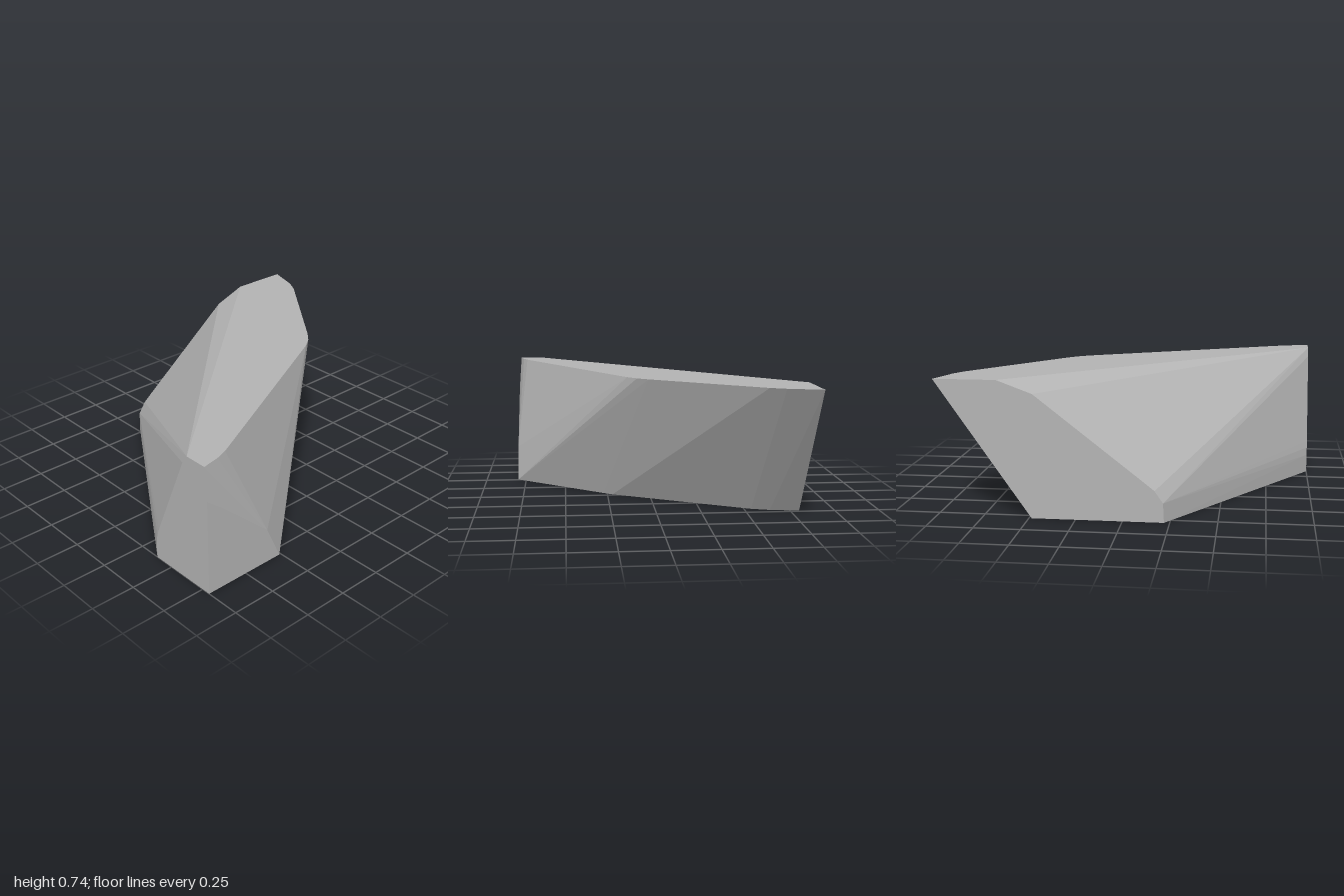
import * as THREE from 'three';
import { ConvexGeometry } from 'three/addons/geometries/ConvexGeometry.js';

const W = 0.8;   // half width of the clipped block
const H = 0.74;  // height of the flat top

export function createModel() {
  const group = new THREE.Group();
  group.name = 'rock';
  const stone = new THREE.MeshStandardMaterial({ color: 0xb4b4b4 });
  stone.name = 'stone grey';

  const corners = [];
  const add = (list, place) => list.forEach(([a, b]) => corners.push(new THREE.Vector3(...place(a, b))));

  // flat top outline (x, z)
  add([[-W, -1], [-0.62, -0.943], [-0.54, -0.9], [0.04, -0.445], [0.1, -0.39], [0.15, -0.32],
    [0.74, 0.83], [0.765, 0.9], [0.785, 1], [0.655, 1], [-W, -0.66]], (x, z) => [x, H, z]);

  // flat base outline (x, z)
  add([[-W, 0.22], [0.38, 1], [W, 1], [W, 0.51], [0.27, 0.06], [0.22, 0.02],
    [-0.54, -0.42], [-0.64, -0.455], [-W, -0.485]], (x, z) => [x, 0, z]);

  // worn edge of the cut side at -x (y, z)
  add([[0.67, -0.47], [0.21, 0.12], [0.17, 0.17], [0.105, 0.215]], (y, z) => [-W, y, z]);

  // worn edge of the cut side at +x (y, z)
  add([[0.2, 0.6], [0.47, 0.9], [0.55, 1]], (y, z) => [W, y, z]);

  // worn edge of the cut front (x, y)
  add([[0.62, 0.69], [0.405, 0.19], [0.39, 0.15], [0.381, 0.105]], (x, y) => [x, y, 1]);

  // faceted stone body with flat shaded faces
  const body = new THREE.Mesh(new ConvexGeometry(corners), stone);
  body.name = 'stoneBody';
  group.add(body);
  return group;
}
